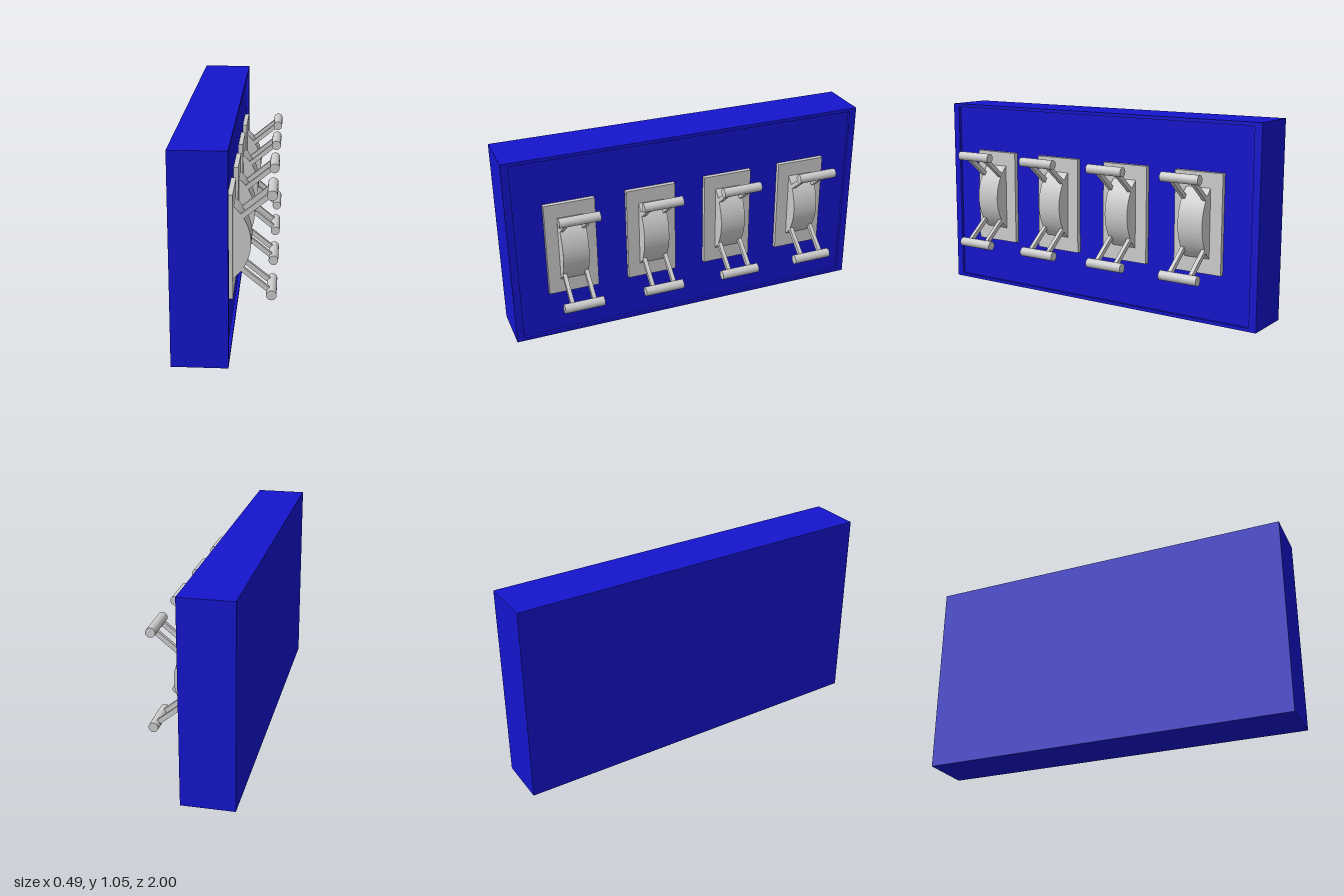
import * as THREE from 'three';
import { toCreasedNormals } from 'three/addons/utils/BufferGeometryUtils.js';

export function createModel() {
  const model = new THREE.Group();
  model.name = 'wallPanelWithHandles';
  const blue = new THREE.MeshStandardMaterial({ color: 0x1414cc });
  const grey = new THREE.MeshStandardMaterial({ color: 0xcccccc });

  function add(parent, name, geometry, material, x = 0, y = 0, z = 0) {
    const mesh = new THREE.Mesh(geometry, material);
    mesh.name = name;
    mesh.position.set(x, y, z);
    parent.add(mesh);
    return mesh;
  }

  // Panel: a slab with a shallow raised rim on its +x face
  const height = 1.053, back = -0.244, floor = 0.012, front = 0.028;
  add(model, 'panel', new THREE.BoxGeometry(floor - back, height, 2), blue, (floor + back) / 2, height / 2);

  const rectangle = (Type, w, h) => new Type([
    new THREE.Vector2(-w / 2, -h / 2), new THREE.Vector2(w / 2, -h / 2),
    new THREE.Vector2(w / 2, h / 2), new THREE.Vector2(-w / 2, h / 2),
  ]);
  const rimShape = rectangle(THREE.Shape, 2, height);
  rimShape.holes.push(rectangle(THREE.Path, 1.92, height - 0.036));
  const rim = new THREE.ExtrudeGeometry(rimShape, { depth: front - floor, bevelEnabled: false });
  rim.rotateY(Math.PI / 2);
  add(model, 'panelRim', rim, blue, floor, height / 2);

  // Shared geometry for the handle units
  const plateFront = 0.036, midY = 0.527;
  const plate = new THREE.BoxGeometry(plateFront - floor, 0.524, 0.273);

  // Curved block: a circle segment standing on the plate
  const radius = 0.242, arcX = -0.123;
  const half = Math.acos((plateFront - arcX) / radius);
  const segment = new THREE.Shape();
  segment.absarc(arcX, 0, radius, -half, half, false);
  segment.closePath();
  const block = toCreasedNormals(new THREE.ExtrudeGeometry(segment, {
    depth: 0.14, bevelEnabled: false, curveSegments: 28,
  }).translate(0, 0, -0.07), 0.5);

  // Arms run from inside the block to the grip bar
  const root = new THREE.Vector2(0.055, 0.117), tip = new THREE.Vector2(0.219, 0.251);
  const span = tip.clone().sub(root);
  const arm = new THREE.BoxGeometry(span.length(), 0.024, 0.021);
  const grip = new THREE.CylinderGeometry(0.025, 0.025, 0.214, 24).rotateX(Math.PI / 2);

  // Four identical handle units along the panel
  for (let i = 0; i < 4; i++) {
    const unit = new THREE.Group();
    unit.name = 'handleUnit' + (i + 1);
    unit.position.set(0, midY, 0.002 + (i - 1.5) * 0.444);
    model.add(unit);
    add(unit, 'backPlate', plate, grey, (plateFront + floor) / 2);
    add(unit, 'curvedBlock', block, grey);
    for (const [side, label] of [[1, 'upper'], [-1, 'lower']]) {
      for (const z of [-0.0595, 0.0595]) {
        const mesh = add(unit, label + 'Arm', arm, grey,
          (root.x + tip.x) / 2, side * (root.y + tip.y) / 2, z);
        mesh.rotation.z = side * span.angle();
      }
      add(unit, label + 'Grip', grip, grey, tip.x, side * tip.y);
    }
  }
  return model;
}
